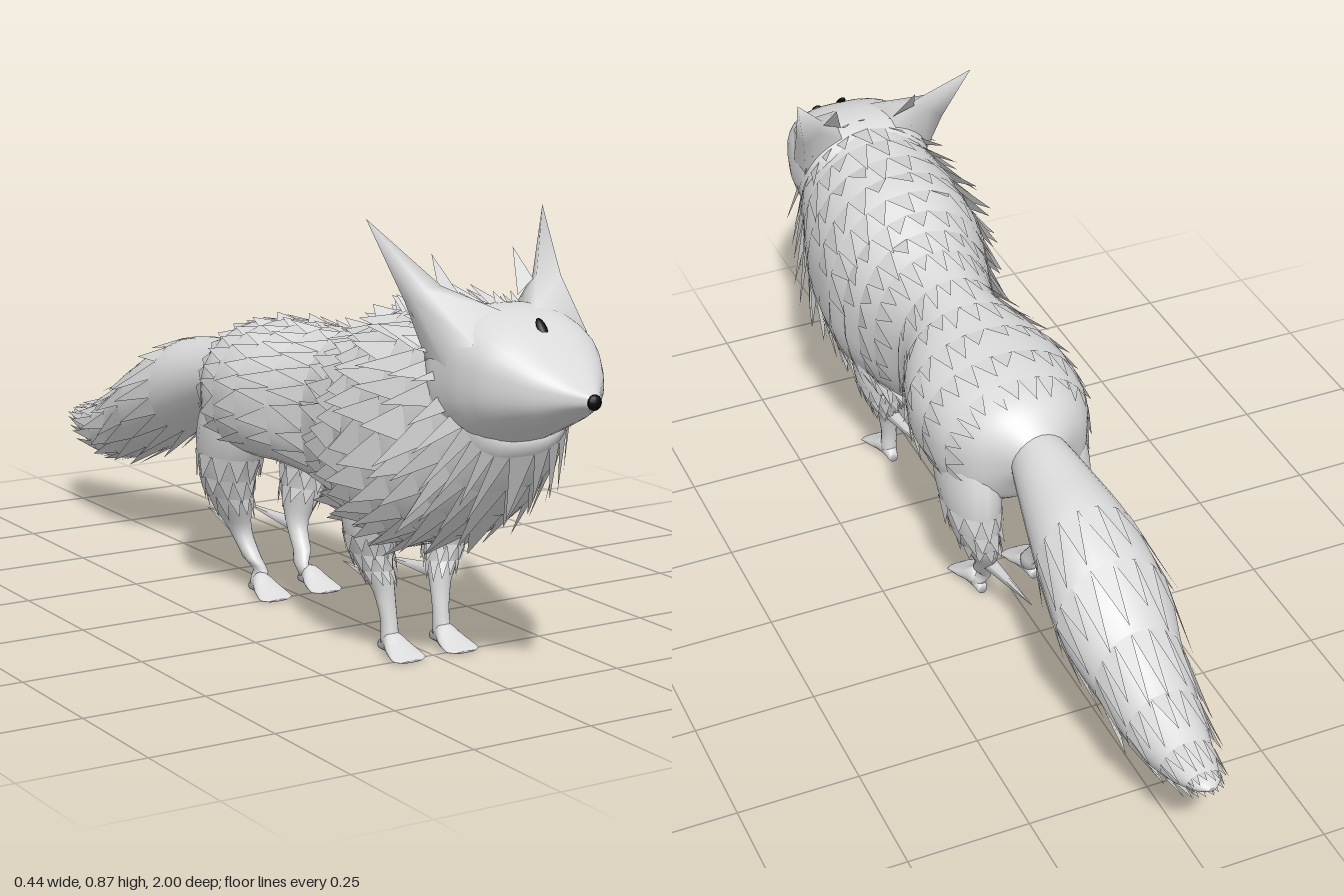
import * as THREE from 'three';

const V = (x, y, z) => new THREE.Vector3(x, y, z);

// Seeded jitter for the fur
let seed = 7;
const rnd = () => (seed = (seed * 16807) % 2147483647) / 2147483647;

const bulge = (v, power) => Math.sign(v) * Math.abs(v) ** power;

// Smooth tube surface from sections [zA, yA, zB, yB, halfWidth, centreX].
// Powers below 1 make the A half or the B half of each section boxier.
function surface(sections, { side = 1, powerA = 1, powerB = 1 } = {}) {
  const curve = f => new THREE.CatmullRomCurve3(sections.map(f));
  const a = curve(s => V(0, s[1], s[0]));
  const b = curve(s => V(0, s[3], s[2]));
  const w = curve(s => V(s[4], (s[5] || 0) * side, 0));
  const centre = u => a.getPoint(u).add(b.getPoint(u)).multiplyScalar(0.5).setX(w.getPoint(u).y);
  const point = (u, ang) => {
    const half = a.getPoint(u).sub(b.getPoint(u)).multiplyScalar(0.5);
    const power = Math.cos(ang) > 0 ? powerA : powerB;
    const p = centre(u).addScaledVector(half, bulge(Math.cos(ang), power));
    p.x += Math.max(w.getPoint(u).x, 0.001) * bulge(Math.sin(ang), power);
    return p;
  };
  return { point, centre };
}

function geometry(pos, idx) {
  const g = new THREE.BufferGeometry();
  g.setAttribute('position', new THREE.Float32BufferAttribute(pos, 3));
  if (idx) g.setIndex(idx);
  g.computeVertexNormals();
  return g;
}

function skin(surf, rings, around) {
  const pos = [], idx = [];
  for (let i = 0; i <= rings; i++)
    for (let j = 0; j < around; j++)
      pos.push(...surf.point(i / rings, (j / around) * Math.PI * 2).toArray());
  for (let i = 0; i < rings; i++)
    for (let j = 0; j < around; j++) {
      const k = (j + 1) % around, p = i * around, q = p + around;
      idx.push(p + j, p + k, q + j, p + k, q + k, q + j);
    }
  // End caps
  const last = rings * around;
  for (let j = 1; j < around - 1; j++) idx.push(0, j + 1, j, last, last + j, last + j + 1);
  return geometry(pos, idx);
}

// Rows of pointed locks lying along a surface
function fur(surf, { from, to, rows, teeth, length, lift, skip = () => false }) {
  const pos = [];
  const out = (u, ang, d) => {
    const p = surf.point(u, ang);
    return p.addScaledVector(p.clone().sub(surf.centre(u)).normalize(), d).toArray();
  };
  for (let r = 0; r < rows; r++) {
    const u = from + ((to - from) * r) / (rows - 1);
    for (let j = 0; j < teeth; j++) {
      const ang = ((j + (r % 2) * 0.5) / teeth) * Math.PI * 2, da = Math.PI / teeth;
      if (skip(ang)) continue;
      const end = Math.min(1, u + length * (0.7 + 0.5 * rnd()));
      pos.push(...out(u, ang - da, 0.002), ...out(u, ang + da, 0.002),
        ...out(end, ang + (rnd() - 0.5) * da, lift * (0.6 + 0.6 * rnd())));
    }
  }
  return geometry(pos);
}

export function createModel() {
  const coat = new THREE.MeshStandardMaterial({ color: 0xdadada, side: THREE.DoubleSide });
  coat.name = 'grey coat';
  const black = new THREE.MeshStandardMaterial({ color: 0x050505 });
  black.name = 'black';
  const model = new THREE.Group();
  model.name = 'longTailedFox';
  const add = (name, geo, mat = coat) => {
    const m = new THREE.Mesh(geo, mat);
    m.name = name;
    model.add(m);
    return m;
  };

  // Torso, with a deep broad chest and narrow waist
  const torso = surface([
    [0.74, 0.70, 0.80, 0.475, 0.115], [0.66, 0.705, 0.715, 0.355, 0.152],
    [0.56, 0.695, 0.61, 0.265, 0.178], [0.46, 0.68, 0.49, 0.225, 0.182],
    [0.38, 0.645, 0.40, 0.225, 0.164], [0.30, 0.61, 0.31, 0.24, 0.138],
    [0.20, 0.59, 0.20, 0.275, 0.12], [0.10, 0.58, 0.09, 0.295, 0.155],
    [0, 0.575, 0, 0.295, 0.176], [-0.10, 0.565, -0.10, 0.29, 0.168],
    [-0.18, 0.545, -0.18, 0.31, 0.13], [-0.235, 0.505, -0.225, 0.375, 0.07],
    [-0.28, 0.465, -0.27, 0.41, 0.02],
  ], { powerA: 0.95, powerB: 0.75 });
  add('torso', skin(torso, 52, 36));
  add('chestFur', fur(torso, { from: 0.02, to: 0.37, rows: 8, teeth: 24, length: 0.075, lift: 0.034 }));
  add('backFur', fur(torso, {
    from: 0.42, to: 0.78, rows: 6, teeth: 26, length: 0.06, lift: 0.014,
    skip: a => Math.cos(a) < -0.5,
  }));

  // Bushy tail
  const tail = surface([
    [-0.17, 0.49, -0.17, 0.42, 0.03], [-0.23, 0.50, -0.22, 0.38, 0.058],
    [-0.34, 0.49, -0.32, 0.335, 0.082], [-0.45, 0.475, -0.45, 0.27, 0.106],
    [-0.57, 0.425, -0.59, 0.20, 0.118], [-0.70, 0.345, -0.72, 0.155, 0.092],
    [-0.82, 0.28, -0.82, 0.14, 0.075], [-0.92, 0.24, -0.92, 0.165, 0.05],
    [-0.98, 0.225, -0.98, 0.195, 0.028], [-1.0, 0.217, -1.0, 0.21, 0.008],
  ]);
  add('tail', skin(tail, 36, 24));
  add('tailFur', fur(tail, { from: 0.34, to: 0.86, rows: 6, teeth: 16, length: 0.11, lift: 0.018 }));

  // Head: flat brow, upright cheeks and a pointed muzzle
  const head = surface([
    [0.99, 0.592, 0.99, 0.572, 0.011], [0.95, 0.612, 0.95, 0.553, 0.046],
    [0.90, 0.645, 0.90, 0.525, 0.09], [0.83, 0.69, 0.83, 0.492, 0.132],
    [0.76, 0.713, 0.77, 0.465, 0.147], [0.69, 0.714, 0.71, 0.45, 0.148],
    [0.63, 0.69, 0.65, 0.45, 0.125],
  ], { powerA: 0.72, powerB: 0.88 });
  add('head', skin(head, 28, 32));

  // Nose and forehead eye
  const nose = add('nose', new THREE.SphereGeometry(0.0145, 12, 8), black);
  nose.scale.z = 0.6;
  nose.position.set(0, 0.581, 0.991);
  const eye = add('eye', new THREE.SphereGeometry(0.01, 12, 8), black);
  eye.scale.set(1, 2.1, 0.6);
  eye.rotation.x = -0.7;
  eye.position.set(0, 0.688, 0.834);

  const earBase = [[0.143, 0.60, 0.76], [0.125, 0.665, 0.80], [0.03, 0.708, 0.77], [0.05, 0.69, 0.67], [0.14, 0.60, 0.69]];
  const earMid = [[0.164, 0.73, 0.67], [0.15, 0.75, 0.685], [0.105, 0.75, 0.67], [0.125, 0.745, 0.63], [0.16, 0.72, 0.635]];
  const frontLeg = [
    [0.36, 0.36, 0.50, 0.38, 0.05, 0.09], [0.35, 0.26, 0.48, 0.26, 0.05, 0.092],
    [0.37, 0.18, 0.45, 0.18, 0.037, 0.08], [0.405, 0.12, 0.445, 0.12, 0.022, 0.065],
    [0.42, 0.06, 0.452, 0.06, 0.017, 0.06], [0.42, 0.02, 0.46, 0.02, 0.018, 0.06],
  ];
  const hindLeg = [
    [-0.17, 0.46, 0.02, 0.46, 0.055, 0.09], [-0.21, 0.34, 0.01, 0.34, 0.062, 0.098],
    [-0.207, 0.25, -0.045, 0.25, 0.052, 0.098], [-0.19, 0.18, -0.075, 0.18, 0.037, 0.085],
    [-0.15, 0.12, -0.095, 0.12, 0.022, 0.068], [-0.105, 0.06, -0.06, 0.06, 0.018, 0.06],
    [-0.085, 0.02, -0.04, 0.02, 0.018, 0.06],
  ];

  for (const side of [1, -1]) {
    const label = side > 0 ? 'left' : 'right';

    // Tall ear sweeping back, with a small inner flap
    const pos = [...earBase, ...earMid, [0.196, 0.865, 0.56]].flatMap(p => [p[0] * side, p[1], p[2]]);
    const idx = [];
    for (let j = 0; j < 5; j++) {
      const k = (j + 1) % 5;
      idx.push(j, k, 5 + j, k, 5 + k, 5 + j, 5 + j, 5 + k, 10);
    }
    add(label + 'Ear', geometry(pos, idx));
    add(label + 'EarFlap', geometry([
      0.06 * side, 0.72, 0.675, 0.105 * side, 0.745, 0.66, 0.09 * side, 0.80, 0.615,
    ]));

    for (const [name, sections, toeZ, lockY, lockZ, lockTip] of [
      ['FrontLeg', frontLeg, 0.52, 0.138, 0.425, [0.045, 0.135, 0.24]],
      ['HindLeg', hindLeg, 0.02, 0.115, -0.11, [0.045, 0.13, -0.31]],
    ]) {
      // Leg with fur around the thigh
      const leg = surface(sections, { side });
      add(label + name, skin(leg, 20, 16));
      add(label + name + 'Fur', fur(leg, { from: 0.25, to: 0.45, rows: 3, teeth: 12, length: 0.11, lift: 0.01 }));

      // Foot fanning out to low toes
      const foot = surface([
        [toeZ, 0.004, toeZ, 0, 0.024, 0.062], [toeZ - 0.012, 0.01, toeZ - 0.012, 0, 0.038, 0.061],
        [toeZ - 0.045, 0.028, toeZ - 0.045, 0, 0.032, 0.06], [toeZ - 0.075, 0.045, toeZ - 0.075, 0, 0.02, 0.06],
        [toeZ - 0.11, 0.02, toeZ - 0.11, 0, 0.01, 0.06],
      ], { side });
      add(label + name + 'Foot', skin(foot, 14, 16));

      // Long lock of hair behind the ankle
      const start = V(0.066 * side, lockY, lockZ);
      const dir = V(lockTip[0] * side, lockTip[1], lockTip[2]).sub(start);
      const lock = add(label + name + 'Lock', new THREE.ConeGeometry(0.018, dir.length(), 6));
      lock.position.copy(start).addScaledVector(dir, 0.5);
      lock.quaternion.setFromUnitVectors(V(0, 1, 0), dir.normalize());
    }
  }
  return model;
}
